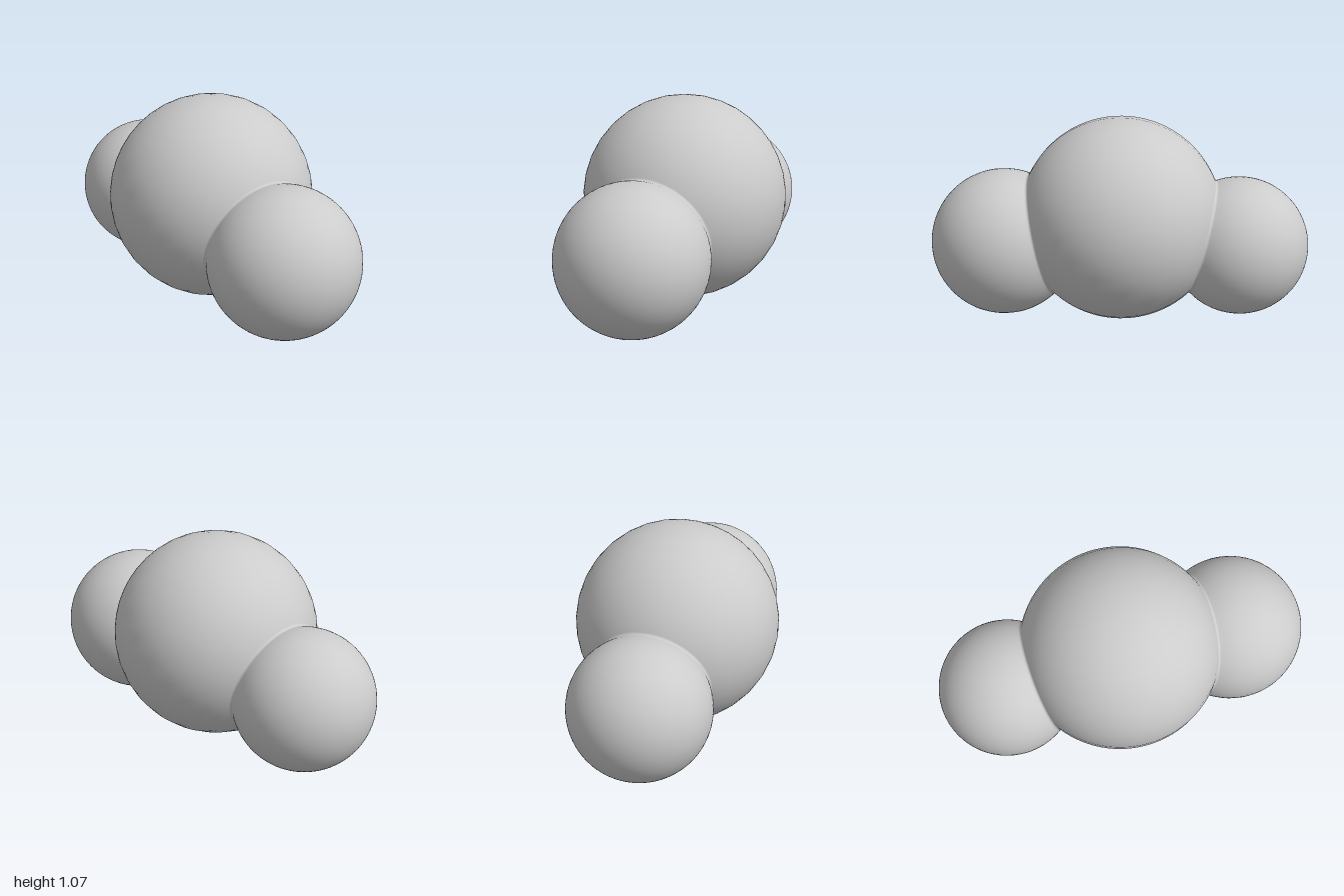
import * as THREE from 'three';

const material = new THREE.MeshStandardMaterial({ color: 0xcccccc });
const core = { center: new THREE.Vector3(-0.01, 0.539, 0), radius: 0.534 };
const FILLET = 0.014;

// Outer ball: revolved about the line to the core, ending in a small fillet at the seam
function outerBall(name, center, r) {
  const toCore = core.center.clone().sub(center);
  const d = toCore.length();
  const f = FILLET;
  const c = (d * d + (r + f) ** 2 - (core.radius + f) ** 2) / (2 * d);
  const h = Math.sqrt((r + f) ** 2 - c * c);
  const profile = [];

  // Ball, from the far pole to the fillet
  const end = Math.atan2(c, h);
  for (let i = 0; i <= 36; i++) {
    const a = -Math.PI / 2 + (end + Math.PI / 2) * (i / 36);
    profile.push(new THREE.Vector2(Math.max(0, r * Math.cos(a)), r * Math.sin(a)));
  }
  // Fillet, from the ball to the core
  const a0 = end + Math.PI;
  const a1 = Math.atan2(d - c, -h);
  for (let i = 1; i <= 6; i++) {
    const a = a0 + (a1 - a0) * (i / 6);
    profile.push(new THREE.Vector2(h + f * Math.cos(a), c + f * Math.sin(a)));
  }

  const mesh = new THREE.Mesh(new THREE.LatheGeometry(profile, 64), material);
  mesh.name = name;
  mesh.position.copy(center);
  mesh.quaternion.setFromUnitVectors(new THREE.Vector3(0, 1, 0), toCore.normalize());
  return mesh;
}

export function createModel() {
  const group = new THREE.Group();
  group.name = 'threeBalls';

  // Large middle ball, poles on the x axis
  const geometry = new THREE.SphereGeometry(core.radius, 36, 48);
  geometry.rotateY(Math.PI / 36).rotateZ(Math.PI / 2);
  const middle = new THREE.Mesh(geometry, material);
  middle.name = 'middleBall';
  middle.position.copy(core.center);
  group.add(middle);

  // Smaller balls on either side
  group.add(outerBall('leftBall', new THREE.Vector3(0.612, 0.391, 0), 0.388));
  group.add(outerBall('rightBall', new THREE.Vector3(-0.636, 0.393, 0), 0.364));

  // Stand the model on the ground
  const box = new THREE.Box3().setFromObject(group, true);
  group.children.forEach((part) => { part.position.y -= box.min.y; });
  return group;
}
